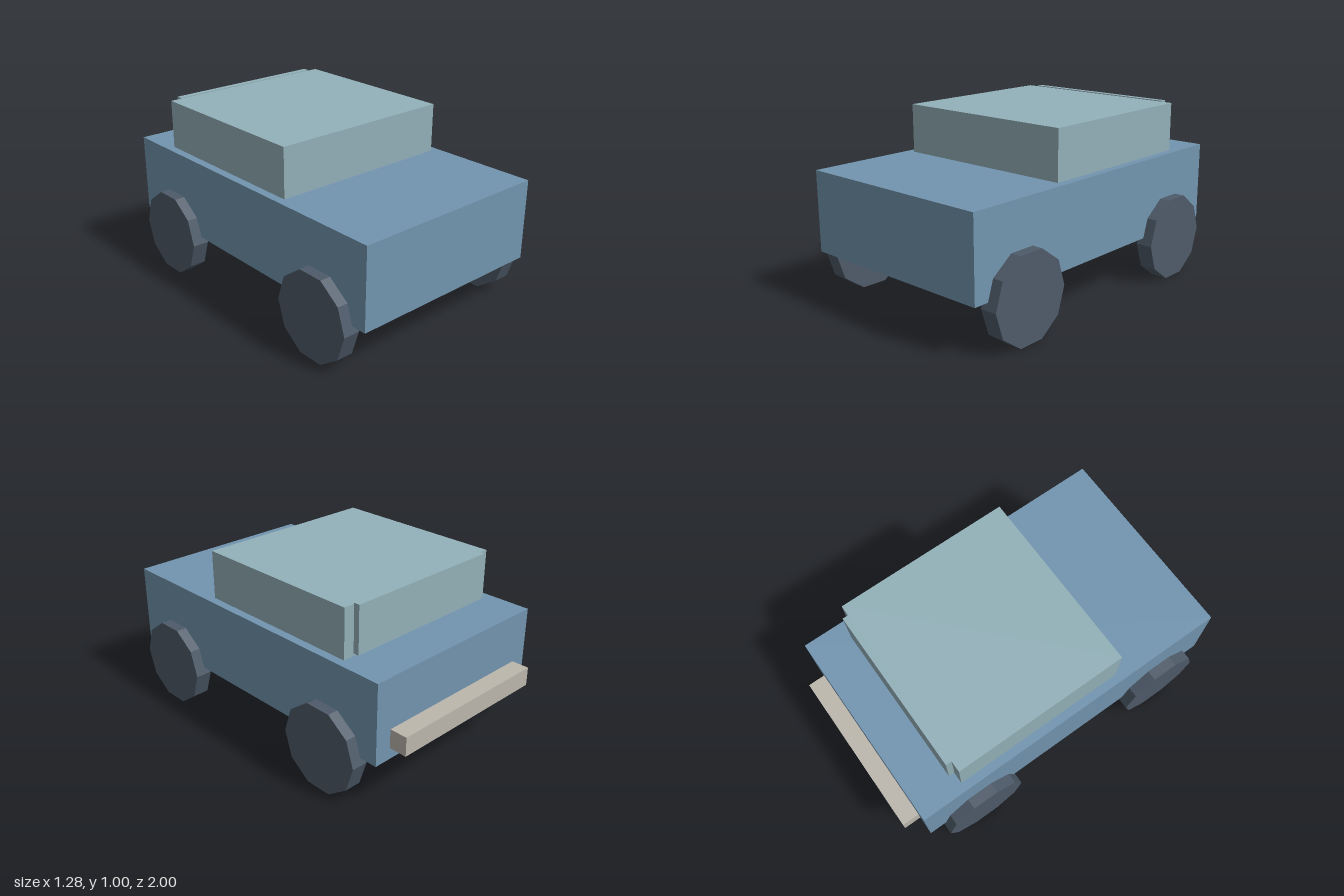
import * as THREE from 'three';

function material(name, color) {
  const m = new THREE.MeshStandardMaterial({ color });
  m.name = name;
  return m;
}

export function createModel() {
  const car = new THREE.Group();
  car.name = 'car';

  const paint = material('bluePaint', 0x7295b0);
  const glass = material('paleGlass', 0x93b1b9);
  const rubber = material('darkRubber', 0x4e5b69);
  const trim = material('beigeTrim', 0xbcb7ad);
  rubber.flatShading = true;

  // Box centred on x, given its width and its y and z ranges
  function block(name, mat, width, y0, y1, z0, z1) {
    const mesh = new THREE.Mesh(new THREE.BoxGeometry(width, y1 - y0, z1 - z0), mat);
    mesh.position.set(0, (y0 + y1) / 2, (z0 + z1) / 2);
    mesh.name = name;
    car.add(mesh);
  }

  block('body', paint, 1.16, 0.268, 0.716, -0.9, 1);
  block('cabin', glass, 1.066, 0.716, 0.99, -0.637, 0.367);
  block('rearWindowPanel', glass, 0.94, 0.732, 0.995, -0.67, -0.637);
  block('rearBumper', trim, 0.97, 0.33, 0.435, -1, -0.9);

  // Ten-sided wheels standing on a flat facet
  const radius = 0.244;
  const wheelGeometry = new THREE.CylinderGeometry(radius, radius, 0.094, 10);
  wheelGeometry.rotateZ(Math.PI / 2);
  for (const [end, z] of [['front', 0.683], ['rear', -0.565]]) {
    for (const [side, sx] of [['Left', 1], ['Right', -1]]) {
      const wheel = new THREE.Mesh(wheelGeometry, rubber);
      wheel.position.set(sx * 0.593, radius * Math.cos(Math.PI / 10), z);
      wheel.name = `${end}${side}Wheel`;
      car.add(wheel);
    }
  }

  return car;
}
